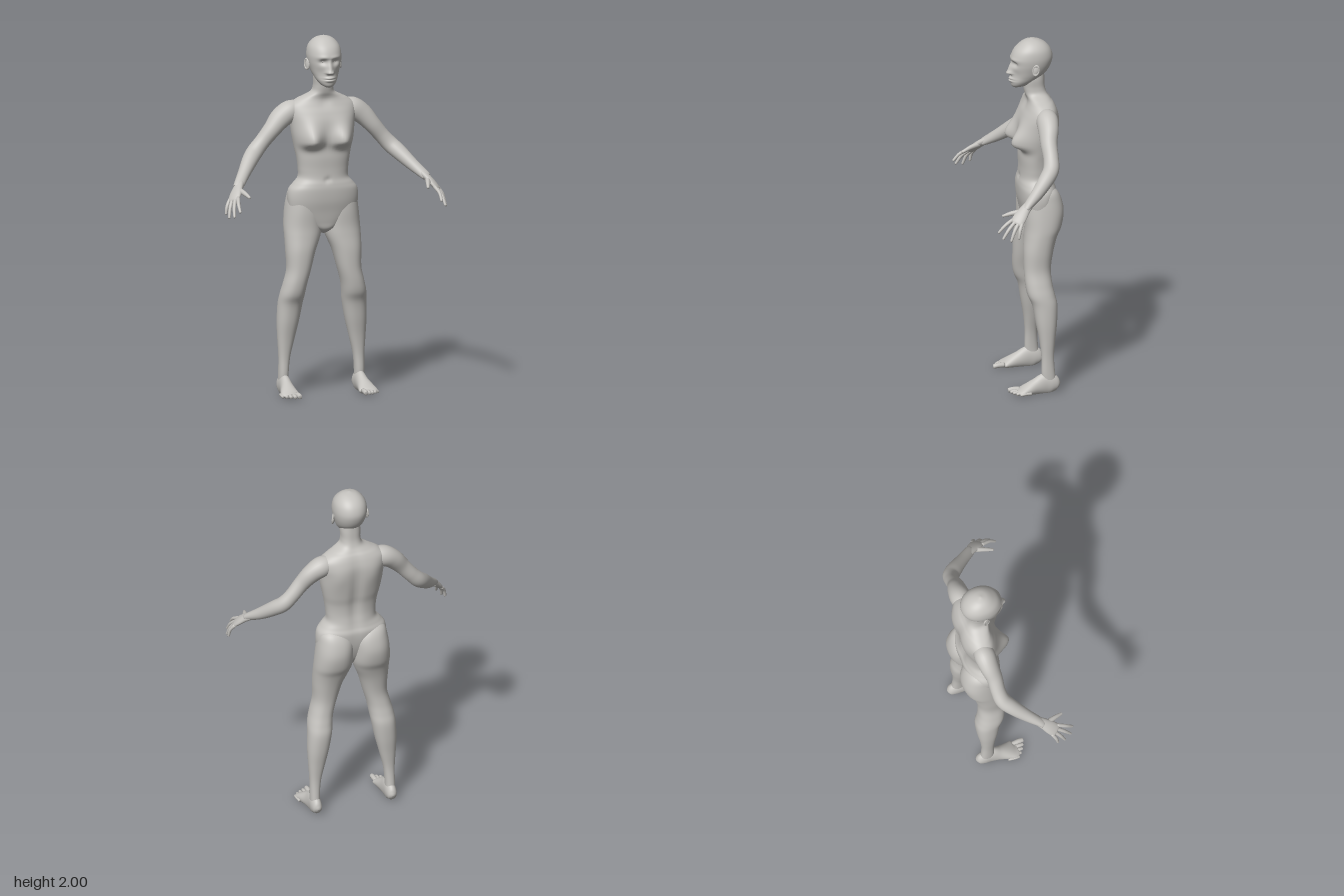
import * as THREE from 'three';

const skin = new THREE.MeshStandardMaterial({ color: 0xc4c2be });
skin.name = 'warm grey';

// Smooth interpolation through rows of numbers, t from 0 to 1
function sample(rows, t) {
  const f = t * (rows.length - 1), i = Math.min(Math.floor(f), rows.length - 2), u = f - i;
  const at = k => rows[Math.max(0, Math.min(rows.length - 1, k))];
  return rows[i].map((b, k) => {
    const a = at(i - 1)[k], c = at(i + 1)[k], d = at(i + 2)[k];
    return b + 0.5 * u * (c - a + u * (2 * a - 5 * b + 4 * c - d + u * (3 * (b - c) + d - a)));
  });
}

// Closed surface from rings; ring(t) gives a function from angle to point
function loft(ring, steps, segs) {
  const pos = [], idx = [];
  for (let i = 0; i <= steps; i++) {
    const at = ring(i / steps);
    for (let j = 0; j < segs; j++) pos.push(...at((j / segs) * Math.PI * 2).toArray());
  }
  for (let i = 0; i < steps; i++) for (let j = 0; j < segs; j++) {
    const k = (j + 1) % segs, a = i * segs + j, b = i * segs + k;
    idx.push(a, a + segs, b, b, a + segs, b + segs);
  }
  for (const end of [0, steps]) {
    const c = new THREE.Vector3(), o = end * segs, n = pos.length / 3;
    for (let j = 0; j < segs; j++) c.add(new THREE.Vector3().fromArray(pos, (o + j) * 3));
    pos.push(...c.divideScalar(segs).toArray());
    for (let j = 0; j < segs; j++) {
      const k = (j + 1) % segs;
      idx.push(n, ...(end ? [o + k, o + j] : [o + j, o + k]));
    }
  }
  const g = new THREE.BufferGeometry();
  g.setAttribute('position', new THREE.Float32BufferAttribute(pos, 3));
  g.setIndex(idx);
  g.computeVertexNormals();
  return g;
}

// Level rings, rows of [y, xMin, xMax, zFront, zBack]
function levels(rows, steps, segs, power, warp) {
  const pw = w => Math.sign(w) * Math.abs(w) ** (2 / power);
  return loft(t => {
    const [y, x0, x1, zf, zb] = sample(rows, t);
    return a => {
      const s = Math.sin(a);
      const v = new THREE.Vector3((x0 + x1) / 2 + (x1 - x0) / 2 * pw(Math.cos(a)), y,
        (zf + zb) / 2 + (zf - zb) / 2 * pw(s));
      if (warp) warp(v, s);
      return v;
    };
  }, steps, segs);
}

// Rings along a path, rows of [x, y, z, width radius, thickness radius]
function limb(rows, side, steps, segs, warp) {
  return loft(t => {
    const p = sample(rows, t), c = new THREE.Vector3(...p);
    const dir = new THREE.Vector3(...sample(rows, Math.min(1, t + 0.01)))
      .sub(new THREE.Vector3(...sample(rows, Math.max(0, t - 0.01)))).normalize();
    const u = new THREE.Vector3(...side);
    u.addScaledVector(dir, -u.dot(dir)).normalize();
    const w = u.clone().cross(dir);
    return a => {
      const v = c.clone().addScaledVector(u, p[3] * Math.cos(a)).addScaledVector(w, p[4] * Math.sin(a));
      if (warp) warp(v);
      return v;
    };
  }, steps, segs);
}

// Finger or toe with a rounded tip
function digit(from, mid, to, r0, r1, side) {
  const mix = (a, b, t) => a.map((n, i) => n + (b[i] - n) * t);
  return limb([[...from, r0, r0], [...mid, (r0 + r1) / 2 + 0.001, (r0 + r1) / 2],
    [...mix(mid, to, 0.8), r1, r1], [...mix(mid, to, 0.95), r1 * 0.75, r1 * 0.75], [...to, r1 * 0.15, r1 * 0.15]], side, 14, 12);
}

function mirrored(g) {
  const m = g.clone().scale(-1, 1, 1), ix = m.index;
  for (let i = 0; i < ix.count; i += 3) {
    const a = ix.getX(i);
    ix.setX(i, ix.getX(i + 1));
    ix.setX(i + 1, a);
  }
  m.computeVertexNormals();
  return m;
}

const bump = (d, s) => Math.exp(-0.5 * (d / s) ** 2);

export function createModel() {
  const model = new THREE.Group();
  const add = (name, g) => {
    const m = new THREE.Mesh(g, skin);
    m.name = name;
    model.add(m);
  };
  const pair = (name, g) => {
    add('left' + name, g);
    add('right' + name, mirrored(g));
  };

  // Torso and neck: [y, half width, front, back]
  const torso = [[0.895, 0.012, -0.07, -0.1], [0.92, 0.05, -0.035, -0.13], [0.96, 0.12, -0.025, -0.16],
    [1.02, 0.185, -0.015, -0.185], [1.08, 0.2, -0.004, -0.2], [1.14, 0.195, 0, -0.205],
    [1.175, 0.17, -0.003, -0.195], [1.21, 0.142, -0.01, -0.188], [1.26, 0.142, -0.012, -0.182],
    [1.32, 0.15, -0.01, -0.185], [1.38, 0.162, -0.012, -0.198], [1.45, 0.175, -0.005, -0.21],
    [1.52, 0.183, -0.008, -0.217], [1.57, 0.19, -0.022, -0.217], [1.61, 0.185, -0.04, -0.208],
    [1.64, 0.15, -0.05, -0.195], [1.66, 0.11, -0.05, -0.18], [1.685, 0.065, -0.042, -0.165],
    [1.72, 0.054, -0.035, -0.155], [1.77, 0.055, -0.03, -0.152], [1.82, 0.05, -0.04, -0.15]];
  add('torso', levels(torso.map(([y, w, f, b]) => [y, -w, w, f, b]), 130, 72, 2.35, (v, s) => {
    const ax = Math.abs(v.x), { y } = v;
    if (s > 0) {
      // Breasts, navel, breastbone hollow
      v.z += s ** 0.7 * 0.076 * bump(ax - 0.098, 0.042) * bump(y - 1.415, y < 1.415 ? 0.024 : 0.06);
      v.z -= 0.008 * bump(ax, 0.01) * bump(y - 1.2, 0.012);
      v.z -= 0.006 * bump(ax, 0.02) * bump(y - 1.63, 0.02);
    } else {
      // Spine groove and shoulder blades
      v.z += 0.014 * bump(ax, 0.022) * bump(y - 1.38, 0.17);
      v.z -= 0.008 * bump(ax - 0.1, 0.035) * bump(y - 1.52, 0.05);
    }
  }));

  // Head with face relief
  const head = [[1.722, 0.012, 0.02, -0.015], [1.735, 0.036, 0.033, -0.06], [1.76, 0.056, 0.038, -0.1],
    [1.79, 0.07, 0.036, -0.14], [1.82, 0.08, 0.034, -0.17], [1.86, 0.09, 0.035, -0.19],
    [1.9, 0.093, 0.034, -0.197], [1.94, 0.086, 0.016, -0.185], [1.97, 0.067, -0.013, -0.16],
    [1.99, 0.04, -0.043, -0.125], [2, 0.004, -0.078, -0.086]];
  add('head', levels(head.map(([y, w, f, b]) => [y, -w, w, f, b]), 110, 112, 2.15, (v, s) => {
    if (s <= 0) return;
    const ax = Math.abs(v.x), { y } = v;
    const ridge = y > 1.808 ? Math.max(0, 1 - (y - 1.808) / 0.07) : bump(y - 1.808, 0.006);
    v.z += 0.027 * ridge * bump(ax, 0.009 + 0.004 * ridge);
    v.z += 0.009 * bump(ax - 0.014, 0.006) * bump(y - 1.808, 0.008);
    v.z -= 0.015 * bump(ax - 0.034, 0.016) * bump(y - 1.866, 0.012);
    v.z += 0.005 * bump(ax - 0.035, 0.022) * bump(y - 1.89, 0.008);
    v.z -= 0.008 * bump(ax - 0.05, 0.016) * bump(y - 1.795, 0.025);
    v.z += bump(ax, 0.018) * (0.011 * bump(y - 1.777, 0.005) + 0.01 * bump(y - 1.763, 0.005));
    v.z -= 0.005 * bump(ax, 0.02) * bump(y - 1.77, 0.0025);
  }));
  pair('Eye', new THREE.SphereGeometry(1, 16, 12).scale(0.013, 0.007, 0.008).rotateY(0.3).translate(0.034, 1.866, 0.007));
  pair('Ear', new THREE.SphereGeometry(1, 16, 12).scale(0.009, 0.031, 0.019)
    .rotateY(-0.35).rotateX(-0.2).translate(0.093, 1.842, -0.083));
  pair('EarRim', new THREE.TorusGeometry(0.02, 0.005, 8, 24).scale(0.85, 1.35, 1)
    .rotateY(Math.PI / 2 - 0.35).rotateX(-0.2).translate(0.098, 1.843, -0.085));

  // Legs, including the buttocks
  pair('Leg', levels([[0.03, 0.19, 0.245, -0.1, -0.175], [0.1, 0.192, 0.246, -0.09, -0.166],
    [0.2, 0.183, 0.246, -0.09, -0.16], [0.3, 0.16, 0.252, -0.08, -0.168], [0.4, 0.136, 0.256, -0.062, -0.18],
    [0.5, 0.118, 0.252, -0.045, -0.184], [0.56, 0.11, 0.245, -0.02, -0.172], [0.62, 0.1, 0.23, -0.01, -0.16],
    [0.7, 0.078, 0.212, -0.007, -0.156], [0.8, 0.05, 0.215, -0.007, -0.172], [0.88, 0.018, 0.216, -0.015, -0.195],
    [0.94, 0.004, 0.215, -0.02, -0.222], [1.02, 0.003, 0.208, -0.02, -0.236], [1.09, 0.004, 0.198, -0.025, -0.225],
    [1.14, 0.03, 0.185, -0.04, -0.2], [1.17, 0.07, 0.15, -0.08, -0.16]], 80, 36, 2.25));

  // Feet with flat soles, and toes
  pair('Foot', limb([[0.217, 0.03, -0.188, 0.008, 0.012], [0.217, 0.035, -0.178, 0.024, 0.032],
    [0.218, 0.045, -0.15, 0.031, 0.055], [0.218, 0.048, -0.11, 0.032, 0.062], [0.22, 0.036, -0.06, 0.037, 0.048],
    [0.224, 0.024, -0.01, 0.048, 0.033], [0.225, 0.016, 0.025, 0.053, 0.02], [0.222, 0.014, 0.045, 0.035, 0.01]],
  [1, 0, 0], 36, 28, v => { v.y = Math.max(v.y, 0); }));
  [[0.191, 0.094, 0.014], [0.214, 0.086, 0.0105], [0.235, 0.075, 0.01], [0.255, 0.06, 0.0095], [0.273, 0.042, 0.009]]
    .forEach(([x, z, r], i) => pair('Toe' + (i + 1),
      digit([x * 0.9 + 0.022, r + 0.004, z - 0.065], [x, r + 0.005, z - 0.028], [x, r, z], r, r * 0.9, [1, 0, 0])));

  // Arms
  pair('Arm', limb([[0.11, 1.59, -0.13, 0.04, 0.04], [0.175, 1.578, -0.13, 0.06, 0.058], [0.235, 1.54, -0.125, 0.06, 0.052],
    [0.29, 1.48, -0.115, 0.049, 0.044], [0.345, 1.415, -0.115, 0.044, 0.041], [0.39, 1.365, -0.105, 0.046, 0.043],
    [0.43, 1.325, -0.07, 0.044, 0.042], [0.485, 1.265, -0.005, 0.035, 0.034], [0.535, 1.215, 0.06, 0.029, 0.022],
    [0.545, 1.203, 0.073, 0.026, 0.018]], [0.61, 0.5, -0.6], 64, 28));

  // Hands: palm, four fingers and thumb
  const across = [0.61, -0.27, -0.745];
  pair('Palm', limb([[0.528, 1.222, 0.05, 0.026, 0.02], [0.548, 1.2, 0.078, 0.031, 0.019],
    [0.57, 1.172, 0.107, 0.038, 0.017], [0.588, 1.146, 0.13, 0.037, 0.013], [0.593, 1.138, 0.137, 0.028, 0.006]], across, 20, 24));
  [[0.582, 1.09, 0.235], [0.61, 1.06, 0.215], [0.627, 1.05, 0.172], [0.632, 1.065, 0.128]].forEach((tip, i) => {
    const k = (i - 1.5) * 0.019;
    const base = [0.584 + across[0] * k, 1.152 + across[1] * k, 0.125 + across[2] * k];
    const mid = base.map((b, n) => (b + tip[n]) / 2 + [0.006, 0.007, 0.004][n]);
    pair('Finger' + (i + 1), digit(base, mid, tip, 0.0105, 0.0075, across));
  });
  pair('Thumb', digit([0.548, 1.195, 0.085], [0.53, 1.182, 0.145], [0.514, 1.163, 0.198], 0.016, 0.0085, across));

  return model;
}
